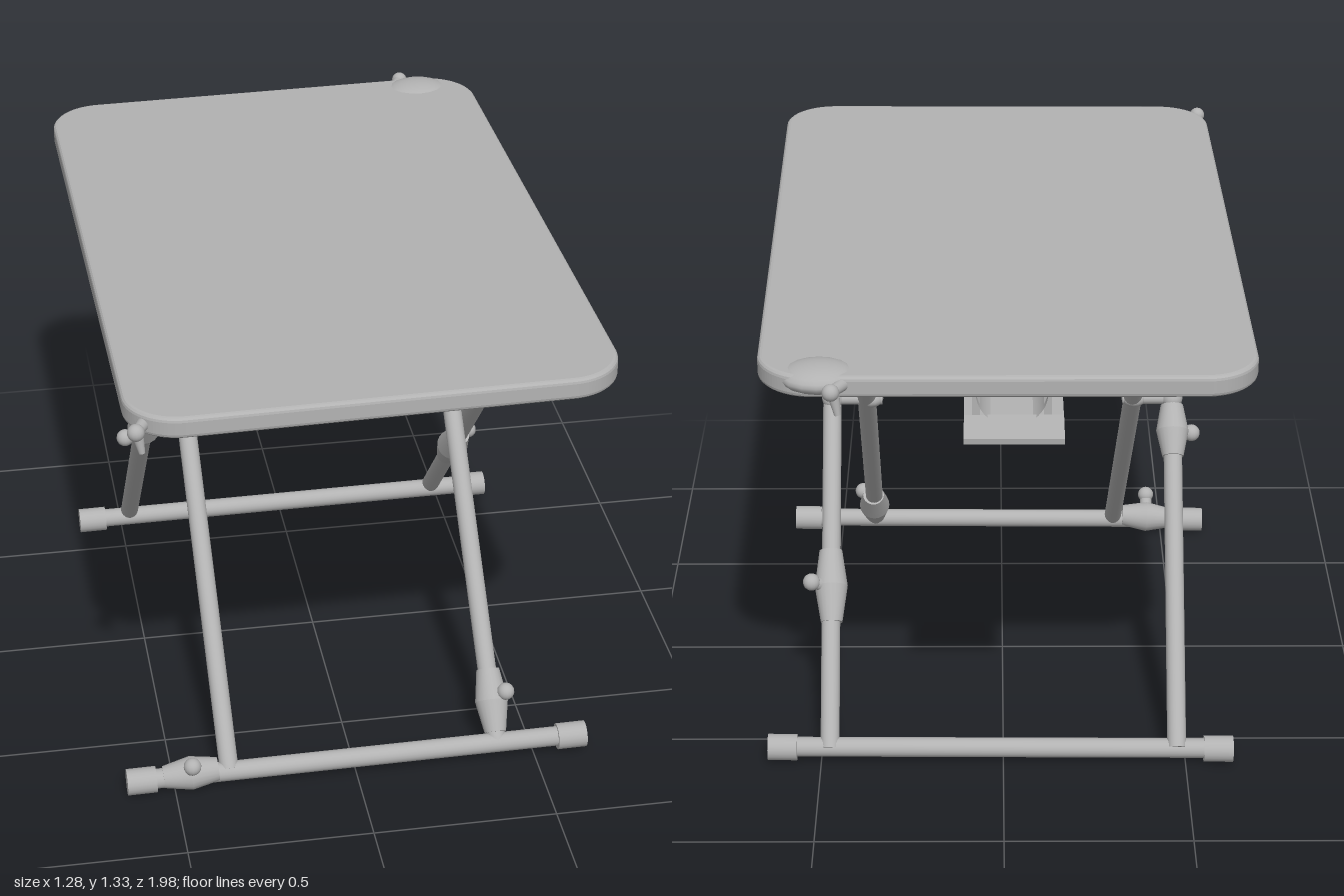
import * as THREE from 'three';

const grey = new THREE.MeshStandardMaterial({ color: 0xb2b2b2 });
grey.name = 'grey';
const V = (x, y, z) => new THREE.Vector3(x, y, z);

export function createModel() {
  const model = new THREE.Group();
  model.name = 'foldingTable';

  const add = (name, geometry, pos = [0, 0, 0], parent = model) => {
    const m = new THREE.Mesh(geometry, grey);
    m.name = name;
    m.position.set(...pos);
    parent.add(m);
    return m;
  };
  // Straight tube between two points, optionally tapered
  const bar = (name, a, b, r, r2 = r) => {
    const d = b.clone().sub(a);
    const m = add(name, new THREE.CylinderGeometry(r2, r, d.length(), 20));
    m.position.copy(a).addScaledVector(d, 0.5);
    m.quaternion.setFromUnitVectors(V(0, 1, 0), d.normalize());
    return m;
  };
  const ball = (name, p, r, s = [1, 1, 1]) => {
    const m = add(name, new THREE.SphereGeometry(r, 16, 12), p);
    m.scale.set(...s);
    return m;
  };
  const slab = (w, d, r, thick, bevel) => {
    const x = w / 2 - bevel, y = d / 2 - bevel, s = new THREE.Shape();
    s.absarc(x - r, y - r, r, 0, Math.PI / 2);
    s.absarc(-x + r, y - r, r, Math.PI / 2, Math.PI);
    s.absarc(-x + r, -y + r, r, Math.PI, Math.PI * 1.5);
    s.absarc(x - r, -y + r, r, Math.PI * 1.5, Math.PI * 2);
    const g = new THREE.ExtrudeGeometry(s, {
      depth: thick - 2 * bevel, bevelThickness: bevel, bevelSize: bevel, bevelSegments: 3, curveSegments: 12,
    });
    g.translate(0, 0, -(thick - 2 * bevel) / 2);
    return g.rotateX(-Math.PI / 2);
  };

  // Table top, very slightly askew
  const top = add('tableTop', slab(1.255, 1.885, 0.13, 0.058, 0.012), [0, 1.292, 0.032]);
  top.rotation.set(-0.008, 0.014, 0.008);

  // Points on the two crossing leg frames, by height
  const innerZ = (y) => 0.72 - (y - 0.05) * 0.904;
  const outerZ = (y) => -0.62 + (y - 0.05) * 0.921;

  for (const s of [-1, 1]) {
    // Rails under the top
    const rail = add('sideRail', slab(0.07, 1.54, 0.02, 0.075, 0.008), [s * 0.515, 1.236, 0.03]);
    rail.rotation.x = -0.006;

    // Crossing legs
    const ix = s > 0 ? 0.395 : 0.35;
    bar('innerLeg', V(s * ix, 0.05, innerZ(0.05)), V(s * 0.378, 1.15, innerZ(1.15)), 0.026);
    bar('innerLegTip', V(s * 0.378, 1.14, innerZ(1.14)), V(s * 0.388, 1.25, innerZ(1.23)), 0.026, 0.014);
    bar('outerLeg', V(s * 0.475, 0.05, outerZ(0.05)), V(s * 0.485, 1.22, outerZ(1.22)), 0.026);

    // Pivots and brackets
    bar('pivotPin', V(s * 0.34, 0.79, 0.053), V(s * 0.5, 0.79, 0.053), 0.018);
    ball('pivotCap', [s * 0.372, 0.79, 0.053], 0.032, [1.1, 0.8, 1]);
    ball('pivotCap', [s * 0.48, 0.79, 0.053], 0.034, [0.9, 0.9, 1]);
    ball('legJoint', [s * 0.48, 1.11, outerZ(1.11)], 0.037);
    bar('slidePin', V(s * 0.37, 1.21, innerZ(1.2)), V(s * 0.55, 1.21, innerZ(1.2)), 0.018);
    add('hingeBracket', new THREE.BoxGeometry(0.06, 0.06, 0.09), [s * 0.48, 1.21, 0.42]);

    // Slanted stay from the leg joint to the top
    bar('stay', V(s * 0.46, 1.1, 0.31), V(s * 0.44, 1.2, -0.04), 0.022, 0.008);
  }

  // Cross tubes
  bar('upperCrossbar', V(-0.47, 1.125, 0.38), V(0.48, 1.13, 0.38), 0.021);
  const loop = new THREE.CatmullRomCurve3([
    V(-0.44, 1.235, 0.12), V(-0.44, 1.235, 0.34), V(-0.425, 1.235, 0.4), V(-0.37, 1.235, 0.42),
    V(0, 1.235, 0.42),
    V(0.37, 1.235, 0.42), V(0.425, 1.235, 0.4), V(0.44, 1.235, 0.34), V(0.44, 1.235, 0.12),
  ], false, 'centripetal');
  add('supportLoop', new THREE.TubeGeometry(loop, 60, 0.025, 14));

  // Feet with end caps
  for (const [name, z] of [['frontFoot', 0.72], ['backFoot', -0.61]]) {
    bar(name, V(-0.6, 0.042, z), V(0.6, 0.05, z), 0.027);
    bar('footCap', V(-0.63, 0.04, z), V(-0.55, 0.041, z), 0.036);
    bar('footCap', V(0.565, 0.048, z), V(0.645, 0.049, z), 0.036);
  }

  // Release tube, housing and handle beneath the back
  bar('releaseTube', V(-0.02, 1.235, 0.4), V(-0.02, 1.225, -0.7), 0.034);
  const cradle = add('releaseHousing', new THREE.CylinderGeometry(0.09, 0.09, 0.26, 24, 1, true, -Math.PI / 2, Math.PI),
    [-0.02, 1.25, -0.74]);
  cradle.material = grey;
  cradle.rotation.x = Math.PI / 2;
  grey.side = THREE.DoubleSide;
  add('releasePlate', new THREE.BoxGeometry(0.25, 0.025, 0.17), [-0.025, 1.165, -0.775]);
  const handle = add('releaseHandle', new THREE.BoxGeometry(0.25, 0.016, 0.11), [-0.025, 1.17, -0.91]);
  handle.rotation.x = -0.12;
  for (const x of [-0.11, 0.07])
    add('plateHanger', new THREE.BoxGeometry(0.02, 0.1, 0.15), [x, 1.215, -0.77]);

  // Leg clamps, each a tapered sleeve with a side knob
  const clamp = (a, b, knob) => {
    const mid = a.clone().lerp(b, 0.5);
    bar('clampSleeve', a, mid, 0.03, 0.046);
    bar('clampSleeve', mid, b, 0.046, 0.032);
    bar('knobStem', mid, knob, 0.018);
    ball('knob', knob.toArray(), 0.024);
  };
  clamp(V(0.475, 0.31, outerZ(0.31)), V(0.48, 0.46, outerZ(0.46)), V(0.53, 0.415, -0.34));
  clamp(V(-0.48, 0.66, outerZ(0.66)), V(-0.48, 0.77, outerZ(0.77)), V(-0.535, 0.7, 0.01));
  clamp(V(0.395, 0.07, innerZ(0.07)), V(0.395, 0.2, innerZ(0.2)), V(0.43, 0.175, 0.66));
  clamp(V(-0.53, 0.045, 0.72), V(-0.38, 0.055, 0.72), V(-0.455, 0.105, 0.765));

  // Corner latches at two opposite corners
  for (const [x, z, s] of [[-0.59, 0.95, 1], [0.42, -0.93, -1]]) {
    bar('latchStem', V(x + s * 0.06, 1.29, z - s * 0.1), V(x, 1.295, z + s * 0.02), 0.022, 0.014);
    ball('latchKnob', [x - s * 0.005, 1.295, z + s * 0.028], 0.022);
    bar('latchHook', V(x, 1.28, z), V(x + s * 0.01, 1.225, z + s * 0.01), 0.016, 0.008);
  }
  ball('cornerBulge', [0.46, 1.295, -0.86], 0.09, [1.1, 0.4, 0.9]);

  return model;
}
